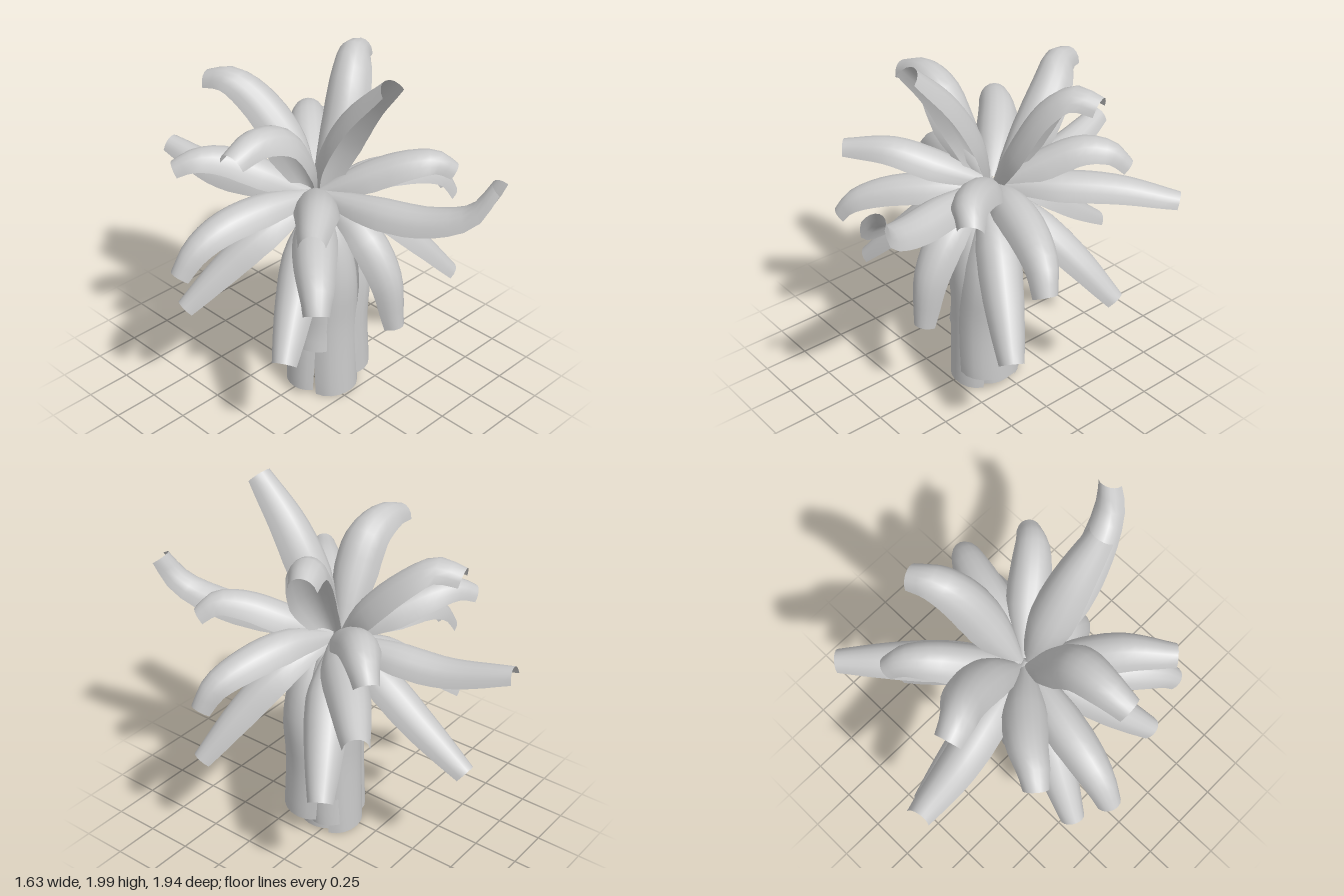
import * as THREE from 'three';

const foliage = new THREE.MeshStandardMaterial({ color: 0xcacaca, side: THREE.DoubleSide });
foliage.name = 'pale grey';

const LEAF_WIDTHS = [0.08, 0.18, 0.235, 0.235, 0.215, 0.18, 0.135];
const SHEATH_WIDTHS = [0.1, 0.45, 0.75, 0.9, 1, 1, 0.97];

// Linear lookup in an evenly spaced list of widths
function sample(list, t) {
  const f = t * (list.length - 1);
  const i = Math.min(Math.floor(f), list.length - 2);
  return THREE.MathUtils.lerp(list[i], list[i + 1], f - i);
}

// Arched blade swept along a path, with its edges bent away from the upper side
function blade(name, points, widths, scale, arch) {
  const path = new THREE.CatmullRomCurve3(points.map((p) => new THREE.Vector3(...p)));
  const rows = 14, cols = 8, positions = [], index = [];
  const out = path.getPoint(1).sub(path.getPoint(0)).setY(0).normalize();
  const side = out.cross(new THREE.Vector3(0, 1, 0)).normalize();
  for (let i = 0; i <= rows; i++) {
    const t = i / rows;
    const centre = path.getPointAt(t);
    const normal = new THREE.Vector3().crossVectors(side, path.getTangentAt(t)).normalize();
    const half = sample(widths, t) * scale / 2;
    for (let j = 0; j <= cols; j++) {
      const u = (j / cols) * 2 - 1;
      const v = centre.clone()
        .addScaledVector(side, half * Math.sin(u * Math.PI / 2.4) / Math.sin(Math.PI / 2.4))
        .addScaledVector(normal, half * arch * (0.35 - 1.15 * u * u));
      positions.push(v.x, v.y, v.z);
      if (i < rows && j < cols) {
        const a = i * (cols + 1) + j, b = a + cols + 1;
        index.push(a, a + 1, b, a + 1, b + 1, b);
      }
    }
  }
  const geometry = new THREE.BufferGeometry();
  geometry.setAttribute('position', new THREE.Float32BufferAttribute(positions, 3));
  geometry.setIndex(index);
  geometry.computeVertexNormals();
  const mesh = new THREE.Mesh(geometry, foliage);
  mesh.name = name;
  return mesh;
}

// Leaf paths, running from the crown outwards to the cut tip
const upperLeaves = [
  [[0.03, 1.2, 0.03], [0.02, 1.47, 0.1], [0.02, 1.75, 0.26], [0.02, 1.98, 0.48]],
  [[0.05, 1.2, 0], [0.2, 1.48, -0.02], [0.34, 1.74, -0.09], [0.46, 1.84, -0.16], [0.58, 1.81, -0.22]],
  [[0.05, 1.2, -0.03], [0.06, 1.45, -0.2], [0.0, 1.66, -0.4], [-0.07, 1.74, -0.53], [-0.12, 1.71, -0.66]],
  [[0, 1.22, 0], [-0.13, 1.48, 0.05], [-0.27, 1.67, 0.06], [-0.45, 1.72, 0.06], [-0.62, 1.67, 0.07]],
];
const middleLeaves = [
  [[0.03, 1.22, 0.05], [0.09, 1.25, 0.35], [0.18, 1.28, 0.66], [0.26, 1.36, 0.85], [0.33, 1.5, 0.92]],
  [[0.04, 1.22, 0.02], [0.2, 1.35, 0.2], [0.33, 1.43, 0.36], [0.43, 1.44, 0.47], [0.51, 1.37, 0.53]],
  [[0, 1.23, 0.02], [-0.17, 1.34, 0.2], [-0.33, 1.41, 0.36], [-0.53, 1.39, 0.53]],
  [[0, 1.22, -0.02], [-0.17, 1.36, -0.2], [-0.33, 1.44, -0.34], [-0.45, 1.44, -0.42], [-0.53, 1.39, -0.48]],
  [[0.05, 1.22, -0.02], [0.18, 1.35, -0.2], [0.32, 1.44, -0.36], [0.43, 1.42, -0.47], [0.49, 1.33, -0.54]],
  [[0.03, 1.2, -0.04], [-0.03, 1.2, -0.3], [-0.1, 1.18, -0.6], [-0.17, 1.24, -0.94]],
  [[0.05, 1.22, -0.02], [0.25, 1.26, -0.2], [0.5, 1.26, -0.44], [0.74, 1.2, -0.66]],
  [[0.06, 1.22, 0.02], [0.3, 1.28, 0.1], [0.55, 1.25, 0.18], [0.73, 1.16, 0.25], [0.8, 1.03, 0.29]],
  [[0, 1.22, 0], [-0.3, 1.24, -0.08], [-0.55, 1.2, -0.13], [-0.7, 1.11, -0.16], [-0.79, 0.98, -0.18]],
  [[0, 1.2, 0.03], [-0.2, 1.2, 0.22], [-0.38, 1.16, 0.4], [-0.5, 1.08, 0.53], [-0.55, 0.99, 0.58]],
];
const lowerLeaves = [
  [[0.05, 1.17, 0.1], [0.07, 1.1, 0.33], [0.09, 0.88, 0.49], [0.1, 0.58, 0.54]],
  [[0.06, 1.18, 0.05], [0.3, 1.08, 0.18], [0.5, 0.87, 0.3], [0.69, 0.62, 0.41]],
  [[0.06, 1.18, -0.02], [0.28, 1.06, -0.13], [0.47, 0.87, -0.25], [0.64, 0.65, -0.36]],
  [[0.03, 1.18, -0.05], [0.02, 1.07, -0.3], [0.01, 0.87, -0.57], [0, 0.68, -0.82]],
  [[0, 1.18, -0.02], [-0.27, 1.05, -0.13], [-0.48, 0.86, -0.23], [-0.66, 0.67, -0.31]],
  [[0, 1.18, 0.05], [-0.23, 1.06, 0.16], [-0.43, 0.84, 0.28], [-0.6, 0.63, 0.39]],
];

// Old leaf bases wrapped round the stalk: lower end x, y, z and width
const sheaths = [
  [0.02, 0.02, 0.22, 0.29],
  [0.03, 0.01, -0.11, 0.29],
  [0.23, 0.13, 0.16, 0.33],
  [0.17, 0.03, 0.03, 0.27],
  [-0.14, 0.33, 0.11, 0.22],
  [-0.15, 0.05, 0.0, 0.24],
  [0.16, 0.07, -0.06, 0.22],
];

export function createModel() {
  const model = new THREE.Group();
  model.name = 'leafyPlant';

  const crown = new THREE.Group();
  crown.name = 'crown';
  const tiers = { upperLeaf: upperLeaves, middleLeaf: middleLeaves, lowerLeaf: lowerLeaves };
  for (const [name, paths] of Object.entries(tiers)) {
    paths.forEach((path) => crown.add(blade(name, path, LEAF_WIDTHS, name === 'upperLeaf' ? 1.08 : 0.97, 0.88)));
  }

  const stalk = new THREE.Group();
  stalk.name = 'stalk';
  const cx = 0.04, cz = 0.05;
  for (const [x, y, z, width] of sheaths) {
    const ring = (k, h) => [cx + (x - cx) * k, h, cz + (z - cz) * k];
    const path = [ring(0.2, 1.18), ring(0.75, 1.0), ring(1, 0.75), ring(0.93, 0.45), ring(1, y)];
    stalk.add(blade('leafSheath', path, SHEATH_WIDTHS, width, 0.6));
  }

  model.add(crown, stalk);
  return model;
}
